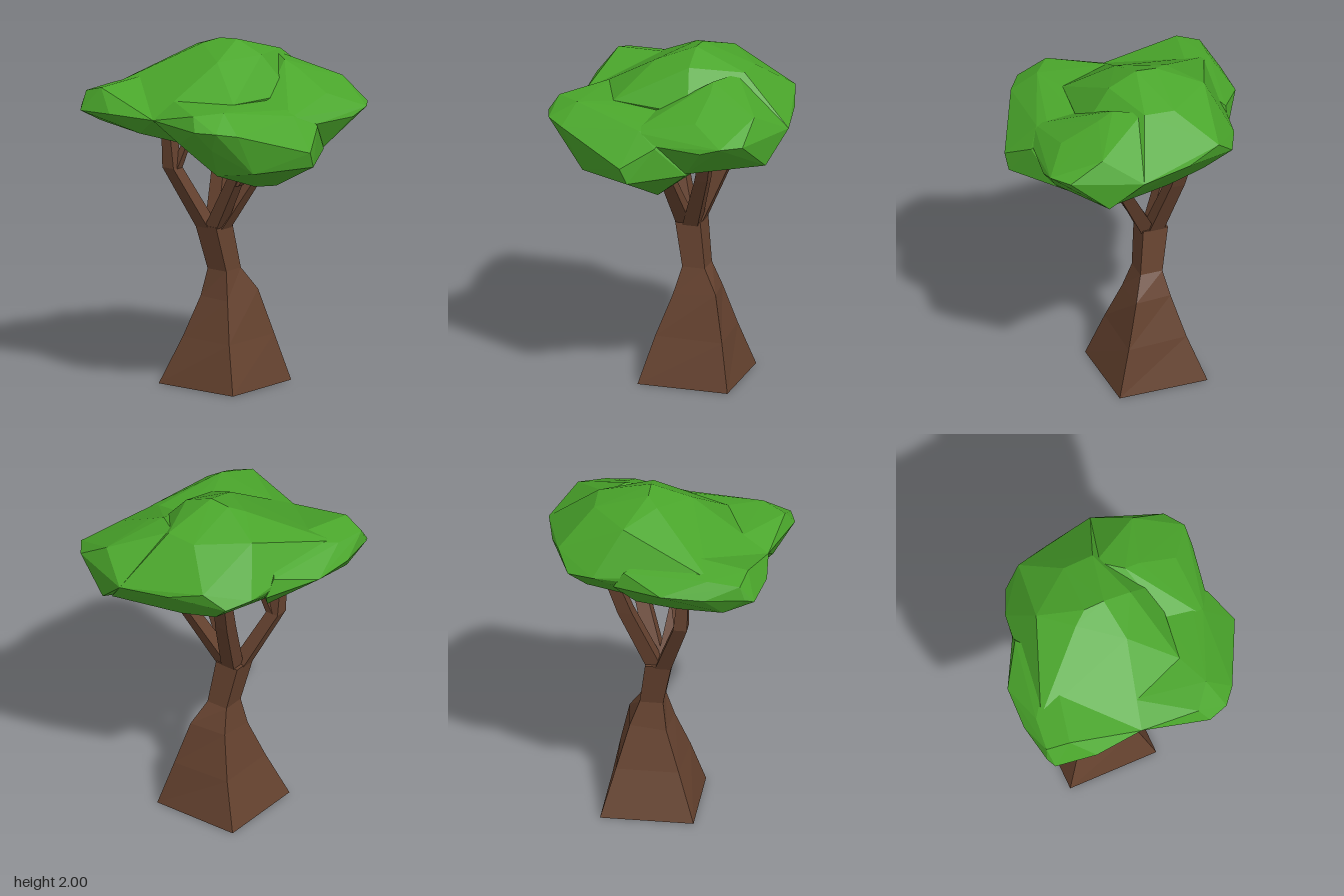
import * as THREE from 'three';
import { ConvexGeometry } from 'three/addons/geometries/ConvexGeometry.js';

const bark = new THREE.MeshStandardMaterial({ color: 0x65422f, flatShading: true });
const leaf = new THREE.MeshStandardMaterial({ color: 0x4aa62b, flatShading: true });

// Skin a stack of four-cornered sections (front left, front right, back right, back left)
function loft(sections) {
  const pos = [];
  const quad = (a, b, c, d) => [a, b, c, a, c, d].forEach((p) => pos.push(...p));
  for (let i = 0; i < sections.length - 1; i++) {
    for (let k = 0; k < 4; k++) {
      const n = (k + 1) % 4;
      quad(sections[i][k], sections[i][n], sections[i + 1][n], sections[i + 1][k]);
    }
  }
  const [a, b, c, d] = sections[0];
  quad(d, c, b, a);
  quad(...sections[sections.length - 1]);
  const g = new THREE.BufferGeometry();
  g.setAttribute('position', new THREE.Float32BufferAttribute(pos, 3));
  g.computeVertexNormals();
  return g;
}

// Square section, level with the ground
const square = (x, y, z, h) => [[x - h, y, z + h], [x + h, y, z + h], [x + h, y, z - h], [x - h, y, z - h]];

export function createModel() {
  const tree = new THREE.Group();
  tree.name = 'tree';
  const add = (name, geometry, material) => {
    const mesh = new THREE.Mesh(geometry, material);
    mesh.name = name;
    tree.add(mesh);
  };

  // Flared trunk, slightly uneven at its shoulders
  add('trunk', loft([
    square(-0.09, 0, -0.07, 0.267),
    [[-0.26, 0.27, 0.10], [0.09, 0.27, 0.12], [0.10, 0.27, -0.28], [-0.26, 0.27, -0.26]],
    [[-0.195, 0.5, 0.02], [0.015, 0.5, 0.04], [0.03, 0.53, -0.22], [-0.19, 0.52, -0.19]],
    square(-0.095, 0.66, -0.07, 0.067),
    square(-0.135, 0.92, -0.025, 0.075),
  ]), bark);

  // Branches and short twigs: each point is x, y, z, half width
  const branches = {
    leftBranch: [[-0.16, 0.9, 0.0, 0.045], [-0.32, 1.25, 0.12, 0.04], [-0.335, 1.52, 0.14, 0.028]],
    leftTwig: [[-0.31, 1.22, 0.11, 0.025], [-0.23, 1.46, 0.06, 0.016]],
    backBranch: [[-0.14, 0.9, -0.05, 0.045], [-0.21, 1.28, -0.21, 0.042], [-0.25, 1.52, -0.29, 0.036]],
    rightBranch: [[-0.11, 0.9, 0.0, 0.045], [0.08, 1.22, 0.05, 0.036], [0.17, 1.4, 0.06, 0.03]],
    rightTwig: [[0.09, 1.19, 0.05, 0.026], [0.23, 1.34, 0.04, 0.018]],
    backRightBranch: [[-0.1, 0.9, -0.04, 0.045], [0.08, 1.24, -0.16, 0.038], [0.22, 1.53, -0.24, 0.032]],
    backRightTwig: [[0.1, 1.28, -0.17, 0.024], [0.15, 1.5, -0.24, 0.018]],
  };
  for (const [name, path] of Object.entries(branches)) {
    add(name, loft(path.map((p) => square(...p))), bark);
  }

  // Foliage: overlapping faceted clumps, each the hull of a few corners
  const clumps = {
    mainFoliage: [
      [-0.02, 2, -0.09], [-0.14, 1.99, -0.09], [-0.39, 1.9, -0.2], [-0.22, 1.96, -0.03], [0.02, 1.91, 0.14],
      [0.15, 1.93, -0.1], [-0.13, 1.89, -0.4], [0.05, 1.9, -0.4], [-0.33, 1.72, -0.58],
      [0.17, 1.64, -0.7], [-0.13, 1.66, -0.64], [-0.44, 1.62, -0.51], [-0.51, 1.64, -0.36], [-0.53, 1.64, -0.2],
      [-0.59, 1.73, 0.31], [-0.32, 1.71, 0.33], [-0.07, 1.73, 0.43], [0.27, 1.73, 0.31], [0.26, 1.72, 0.12],
      [0.31, 1.72, 0.0], [0.33, 1.72, -0.15], [-0.09, 1.64, 0.59],
      [0.3, 1.48, -0.6], [-0.08, 1.43, -0.44], [-0.3, 1.48, -0.42], [0.2, 1.43, -0.33], [-0.46, 1.46, 0.15], [0, 1.42, 0.2],
    ],
    backRightFoliage: [
      [0.05, 1.89, -0.36], [0.19, 1.88, -0.26], [0.28, 1.84, -0.27], [0.5, 1.73, -0.25], [0.5, 1.69, -0.12],
      [0.37, 1.76, -0.56], [0.17, 1.64, -0.7], [0.56, 1.64, -0.55], [0.64, 1.64, -0.44], [0.635, 1.6, -0.32],
      [0.59, 1.6, -0.05], [0.3, 1.71, 0.05], [0.52, 1.65, 0.12], [0.35, 1.47, -0.62], [0.2, 1.43, -0.33],
      [0.52, 1.43, -0.2],
    ],
    frontLeftFoliage: [
      [-0.4, 1.8, 0.02], [-0.53, 1.7, -0.18], [-0.69, 1.64, 0.3], [-0.68, 1.64, 0.05], [-0.62, 1.73, 0.31],
      [-0.64, 1.72, 0.5], [-0.51, 1.76, 0.53], [-0.65, 1.64, 0.53], [-0.62, 1.62, 0.58], [-0.38, 1.64, 0.62],
      [-0.09, 1.64, 0.59], [-0.32, 1.72, 0.33], [-0.61, 1.53, 0.4], [-0.46, 1.45, 0.12], [-0.24, 1.53, 0.52],
      [-0.02, 1.43, 0.25], [-0.52, 1.6, -0.24], [-0.44, 1.47, -0.12],
    ],
    frontRightFoliage: [
      [-0.07, 1.73, 0.43], [0.27, 1.73, 0.31], [0.35, 1.73, 0.5], [0.24, 1.72, 0.64], [0.29, 1.64, 0.69],
      [0.41, 1.64, 0.65], [0.49, 1.62, 0.55], [0.53, 1.62, 0.28], [0.52, 1.66, 0.08], [0.3, 1.71, 0.0],
      [0.5, 1.67, -0.08], [-0.09, 1.64, 0.59], [0.1, 1.53, 0.59], [0.35, 1.53, 0.61], [0, 1.42, 0.3],
      [0.69, 1.48, 0.14], [0.68, 1.39, 0.1], [0.35, 1.22, 0.02], [0.3, 1.23, 0.15], [0.08, 1.35, 0.18],
      [0.31, 1.36, 0.51], [0.5, 1.38, 0.42], [0.6, 1.59, -0.04], [0.52, 1.42, -0.2], [0.2, 1.43, -0.28],
    ],
  };
  for (const [name, pts] of Object.entries(clumps)) {
    add(name, new ConvexGeometry(pts.map((p) => new THREE.Vector3(...p))), leaf);
  }
  return tree;
}
